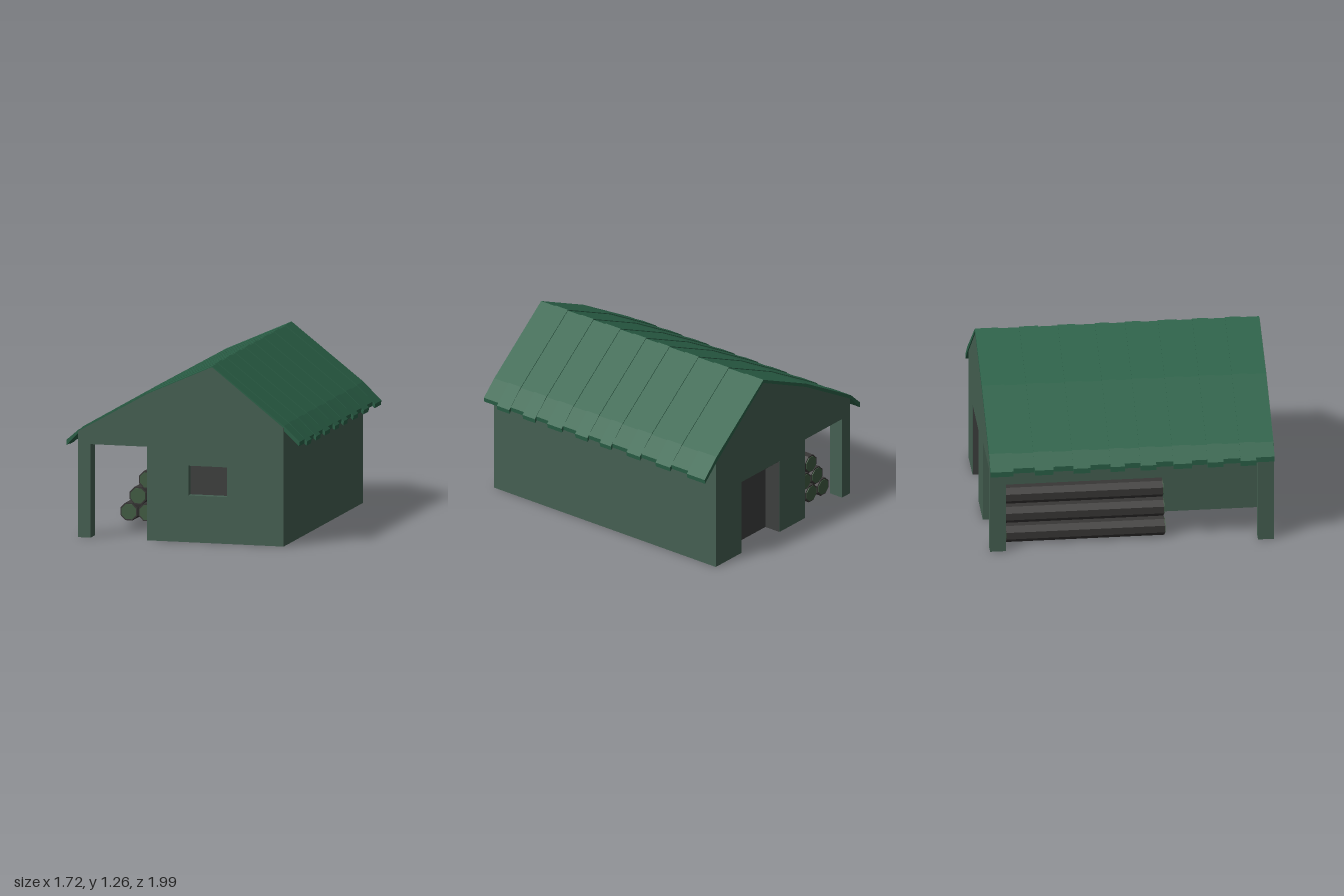
import * as THREE from 'three';

const paint = (color) => new THREE.MeshStandardMaterial({ color, flatShading: true });
const wallMat = paint(0x456052);
const roofMat = paint(0x2b6148);
const darkMat = paint(0x3d3f3e);
const barkMat = paint(0x383736);
const logEndMat = paint(0x415c42);

const FRONT = 0.993;
const BACK = -0.993;
const WINDOW = { x0: 0.04, x1: 0.32, y0: 0.33, y1: 0.54, depth: 0.06 };
const DOOR = { x0: 0.02, x1: 0.445, y1: 0.55, depth: 0.13 };

const toShape = (points) => new THREE.Shape(points.map(([x, y]) => new THREE.Vector2(x, y)));

export function createModel() {
  const group = new THREE.Group();

  const add = (name, geometry, material, x = 0, y = 0, z = 0, parent = group) => {
    const mesh = new THREE.Mesh(geometry, material);
    mesh.name = name;
    mesh.position.set(x, y, z);
    parent.add(mesh);
    return mesh;
  };
  const box = (name, material, x0, x1, y0, y1, z0, z1) =>
    add(name, new THREE.BoxGeometry(x1 - x0, y1 - y0, z1 - z0), material,
      (x0 + x1) / 2, (y0 + y1) / 2, (z0 + z1) / 2);
  const extrude = (name, shape, material, z0, z1, parent) =>
    add(name, new THREE.ExtrudeGeometry(shape, { depth: z1 - z0, bevelEnabled: false }),
      material, 0, 0, z0, parent);

  // House cross-section: closed room on the left, gable carried over the open porch
  const houseShape = (withDoor) => toShape([
    [-0.26, 0],
    ...(withDoor ? [[DOOR.x0, 0], [DOOR.x0, DOOR.y1], [DOOR.x1, DOOR.y1], [DOOR.x1, 0]] : []),
    [0.73, 0], [0.73, 0.835], [0.21, 1.242], [-0.26, 1.032], [-0.76, 0.748],
    [-0.76, 0.66], [-0.26, 0.66],
  ]);

  // Front wall with a window hole, solid middle, back wall with a door notch
  const frontShape = houseShape(false);
  const { x0, x1, y0, y1 } = WINDOW;
  frontShape.holes.push(new THREE.Path(
    [[x0, y0], [x0, y1], [x1, y1], [x1, y0]].map(([x, y]) => new THREE.Vector2(x, y))));
  const frontInner = FRONT - WINDOW.depth;
  const backInner = BACK + DOOR.depth;
  extrude('frontWall', frontShape, wallMat, frontInner, FRONT);
  extrude('houseBody', houseShape(false), wallMat, backInner, frontInner);
  extrude('backWall', houseShape(true), wallMat, BACK, backInner);

  // Window pane, door leaf and door lining
  const t = 0.004;
  box('windowPane', darkMat, x0, x1, y0, y1, frontInner - t, frontInner + t);
  box('doorLeaf', darkMat, DOOR.x0, DOOR.x1, 0, DOOR.y1, backInner - t, backInner + t);
  box('doorJamb', darkMat, DOOR.x0, DOOR.x0 + t, 0, DOOR.y1, BACK + t, backInner);
  box('doorJamb', darkMat, DOOR.x1 - t, DOOR.x1, 0, DOOR.y1, BACK + t, backInner);
  box('doorHead', darkMat, DOOR.x0, DOOR.x1, DOOR.y1 - t, DOOR.y1, BACK + t, backInner);

  // Porch posts and the lower beam at the back opening
  box('frontPost', wallMat, -0.76, -0.67, 0, 0.66, FRONT - 0.11, FRONT);
  box('backPost', wallMat, -0.76, -0.67, 0, 0.66, BACK, BACK + 0.11);
  box('backBeam', wallMat, -0.67, -0.26, 0.61, 0.66, BACK, BACK + 0.11);

  // Roof boards: alternating raised long and lower short strips
  const roof = new THREE.Group();
  roof.name = 'roof';
  group.add(roof);
  const joints = [-1, -0.84, -0.69, -0.56, -0.42, -0.3, -0.16, -0.06, 0.05,
    0.16, 0.28, 0.41, 0.52, 0.63, 0.75, 0.86, 0.99];
  for (let i = 0; i < joints.length - 1; i++) {
    const long = i % 2 === 0;
    const tip = long ? 0.862 : 0.845;
    const drop = long ? 0 : 0.015;
    const lift = long ? 0.006 : 0;
    const board = toShape([
      [-tip, 0.63 + drop], [-0.76, 0.735], [-0.26, 1.02], [0.21, 1.232], [0.73, 0.815], [tip - 0.004, 0.697 + drop],
      [tip, 0.728 + drop], [0.73, 0.85 + lift], [0.21, 1.25 + lift], [-0.26, 1.04 + lift],
      [-0.76, 0.757 + lift], [-tip, 0.668 + drop],
    ]);
    extrude('roofBoard', board, roofMat, joints[i], joints[i + 1], roof);
  }

  // Stacked firewood under the porch
  const logs = new THREE.Group();
  logs.name = 'logPile';
  group.add(logs);
  const logGeometry = (radius, length) =>
    new THREE.CylinderGeometry(radius, radius, length, 8).rotateX(Math.PI / 2).rotateZ(Math.PI / 8);
  const bark = logGeometry(0.067, 1.11);
  const core = logGeometry(0.057, 1.12);
  for (let row = 0; row < 3; row++) {
    for (let i = 0; i < 3 - row; i++) {
      const x = -0.61 + row * 0.067 + i * 0.131;
      const y = 0.07 + row * 0.115;
      add('logBark', bark, barkMat, x, y, -0.315, logs);
      add('logEnds', core, logEndMat, x, y, -0.315, logs);
    }
  }

  return group;
}
